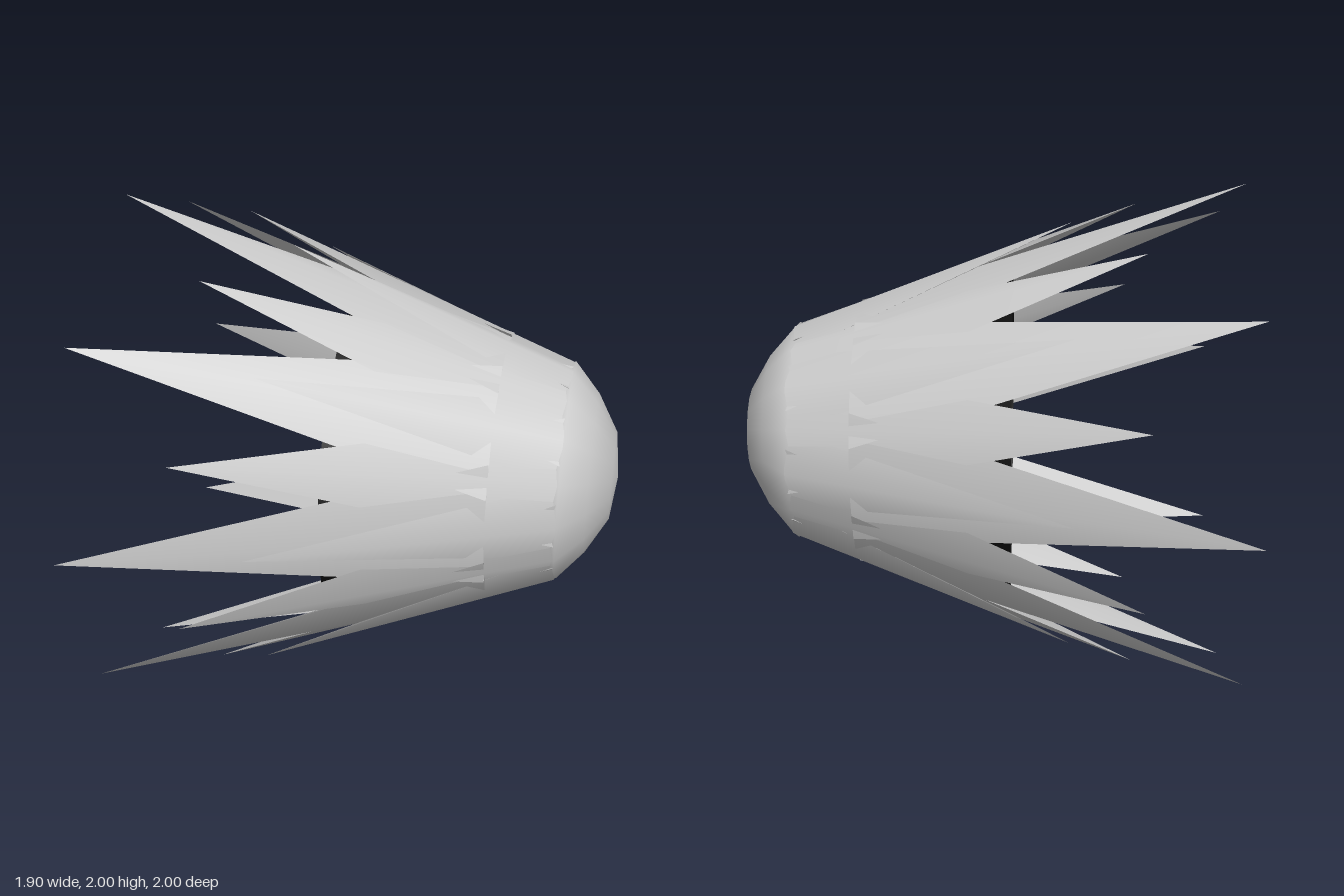
import * as THREE from 'three';

const grey = new THREE.MeshStandardMaterial({ color: 0xcccccc, side: THREE.DoubleSide });
const black = new THREE.MeshStandardMaterial({ color: 0x0c0c0c, side: THREE.DoubleSide });

// Flattened spike: a tip and a diamond root; x runs along the axis, y outward, z across.
// The outer and inner pairs of faces share smooth normals, the side edges stay sharp.
function spikeGeometry({ tipX, tipR, rootX, outerR, innerR, halfWidth }) {
  const sideR = outerR + (innerR - outerR) * 0.55;
  const tip = [tipX, tipR, 0];
  const left = [rootX, sideR, -halfWidth];
  const right = [rootX, sideR, halfWidth];
  const outer = [rootX, outerR, 0];
  const inner = [rootX, innerR, 0];
  const geometry = new THREE.BufferGeometry();
  const points = [tip, left, outer, right, tip, left, inner, right];
  geometry.setAttribute('position', new THREE.Float32BufferAttribute(points.flat(), 3));
  geometry.setIndex([0, 3, 2, 0, 2, 1, 4, 6, 7, 4, 5, 6, 5, 7, 6, 1, 2, 3]);
  geometry.computeVertexNormals();
  return geometry;
}

// Surface of revolution about the x axis, from [x, radius] pairs with x rising.
function revolve(name, profile, sides, material) {
  const points = profile.map(([x, r]) => new THREE.Vector2(r, x));
  const mesh = new THREE.Mesh(new THREE.LatheGeometry(points, sides), material);
  mesh.geometry.rotateZ(-Math.PI / 2);
  mesh.name = name;
  return mesh;
}

export function createModel() {
  const model = new THREE.Group();
  model.name = 'spikyShell';
  const body = new THREE.Group();
  body.name = 'body';
  body.position.y = 1;
  model.add(body);

  // Rounded nose and the dark open lining behind it
  body.add(revolve('nose', [[0.7, 0.4], [0.75, 0.425], [0.85, 0.31], [0.93, 0.17], [0.95, 0]], 16, grey));
  body.add(revolve('lining', [[-0.09, 0.63], [0.07, 0.575], [0.4, 0.46], [0.7, 0.36], [0.85, 0.2], [0.9, 0]], 16, black));

  // Three rings of eight swept-back spikes
  const rings = [
    { name: 'longSpike', turn: 0, tipX: -0.95, tipR: 1, rootX: 0.5, outerR: 0.525, innerR: 0.38, halfWidth: 0.255 },
    { name: 'middleSpike', turn: 0.5, tipX: -0.57, tipR: 0.9, rootX: 0.75, outerR: 0.42, innerR: 0.27, halfWidth: 0.24 },
    { name: 'shortSpike', turn: 0, tipX: -0.31, tipR: 0.85, rootX: 0.75, outerR: 0.43, innerR: 0.32, halfWidth: 0.155 },
  ];
  for (const ring of rings) {
    const geometry = spikeGeometry(ring);
    for (let i = 0; i < 8; i++) {
      const spike = new THREE.Mesh(geometry, grey);
      spike.name = ring.name;
      spike.rotation.x = (i + ring.turn) * Math.PI / 4;
      body.add(spike);
    }
  }
  return model;
}
